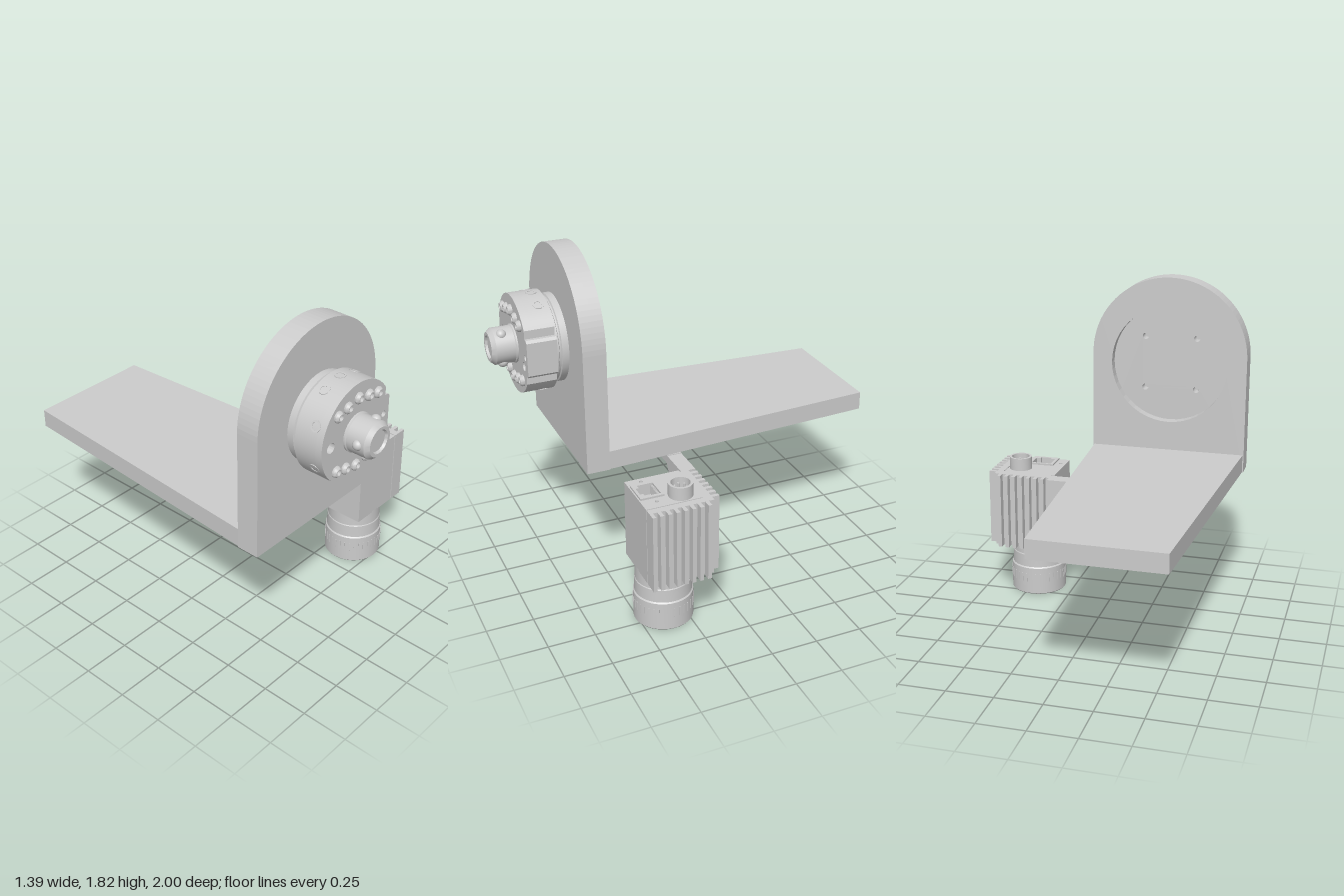
import * as THREE from 'three';
import { toCreasedNormals } from 'three/addons/utils/BufferGeometryUtils.js';

const material = new THREE.MeshStandardMaterial({ color: 0xcccccc });

function add(parent, name, geometry, x = 0, y = 0, z = 0) {
  const mesh = new THREE.Mesh(geometry, material);
  mesh.name = name;
  mesh.position.set(x, y, z);
  parent.add(mesh);
  return mesh;
}

// Box given by its limits on each axis
function box(parent, name, x0, x1, y0, y1, z0, z1) {
  return add(parent, name, new THREE.BoxGeometry(x1 - x0, y1 - y0, z1 - z0),
    (x0 + x1) / 2, (y0 + y1) / 2, (z0 + z1) / 2);
}

const lathe = (points, sides = 48) => toCreasedNormals(
  new THREE.LatheGeometry(points.map(([r, h]) => new THREE.Vector2(r, h)), sides), 0.5);
const latheZ = (points, sides) => lathe(points, sides).rotateX(Math.PI / 2);

const polygon = (points) => new THREE.Shape(points.map(([x, y]) => new THREE.Vector2(x, y)));
const circle = (x, y, r) => new THREE.Path().absarc(x, y, r, 0, Math.PI * 2, true);
const extrude = (shape, depth, curveSegments = 24) =>
  new THREE.ExtrudeGeometry(shape, { depth, curveSegments, bevelEnabled: false });
// Extrudes downward; the shape's second axis becomes z
const extrudeDown = (shape, depth) => extrude(shape, depth).rotateX(Math.PI / 2);

// Upright round-topped plate and tapered shelf
function makeBracket() {
  const g = new THREE.Group();
  g.name = 'mountingBracket';
  const cx = -0.262, cy = 1.33, r = 0.435;
  const outline = () => {
    const s = new THREE.Shape();
    s.moveTo(cx - r, 0.74);
    s.lineTo(cx + r, 0.74);
    s.lineTo(cx + r, 1.382);
    s.absarc(cx, 1.382, r, 0, Math.PI, false);
    s.closePath();
    return s;
  };
  const front = outline();
  for (const sx of [-1, 1]) for (const sy of [-1, 1]) {
    front.holes.push(circle(cx + sx * 0.146, cy + sy * 0.146, 0.018));
  }
  add(g, 'uprightPlateFront', extrude(front, 0.065), 0, 0, 0.582);
  const back = outline();
  back.holes.push(circle(cx, cy, 0.327));
  add(g, 'uprightPlateRecessedBack', extrude(back, 0.057), 0, 0, 0.525);
  const shelf = polygon([[-0.602, -1], [0.078, -1], [0.167, 0.526], [-0.691, 0.526]]);
  add(g, 'shelf', extrudeDown(shelf, 0.1), 0, 0.84, 0);
  return g;
}

// Round coupling, built around its own axis along z
function makeCoupling() {
  const g = new THREE.Group();
  g.name = 'coupling';
  g.position.set(-0.262, 1.33, 0);
  add(g, 'couplingBase', latheZ([[0.23, 0.64], [0.23, 0.682], [0.222, 0.686],
    [0.222, 0.694], [0.23, 0.698], [0.23, 0.72]]));

  const disc = () => {
    const a = Math.acos(0.212 / 0.256);
    const s = new THREE.Shape();
    s.absarc(0, 0, 0.256, a, Math.PI * 2 - a, false);
    for (const [x, y] of [[0.212, -0.1], [0.232, -0.1], [0.245, -0.087],
      [0.245, 0.087], [0.232, 0.1], [0.212, 0.1]]) s.lineTo(x, y);
    s.closePath();
    return s;
  };
  add(g, 'couplingDisc', toCreasedNormals(extrude(disc(), 0.12, 48), 0.3), 0, 0, 0.712);
  const face = disc();
  face.holes.push(circle(-0.19, 0, 0.027), circle(0.178, -0.058, 0.024), circle(0.207, 0, 0.016));
  add(g, 'couplingFace', toCreasedNormals(extrude(face, 0.036, 48), 0.3), 0, 0, 0.832);

  // Socket-head bolts above and below the plug
  const bolt = latheZ([[0.029, 0], [0.029, 0.01], [0.02, 0.022], [0.014, 0.022], [0.014, 0.006], [0, 0.006]], 18);
  for (const [x, y] of [[0, 0.18], [0.077, 0.163], [-0.077, 0.163], [0.146, 0.147], [-0.146, 0.147]]) {
    for (const s of [-1, 1]) add(g, 'faceBolt', bolt, x, y * s, 0.867);
  }

  // Ringed ports around the rim
  const port = lathe([[0.028, -0.02], [0.028, 0.002], [0.019, 0.002], [0.019, -0.006], [0, -0.006]], 20);
  for (const deg of [64, 90, 116, 154, 206, 244, 270, 296]) {
    const a = THREE.MathUtils.degToRad(deg);
    const mesh = add(g, 'rimPort', port, Math.cos(a) * 0.256, Math.sin(a) * 0.256, deg === 154 || deg === 206 ? 0.81 : 0.76);
    mesh.rotation.z = a - Math.PI / 2;
  }

  // Central plug with three locking balls
  add(g, 'plug', latheZ([[0.1, 0.86], [0.1, 0.876], [0.095, 0.88], [0.095, 0.978], [0.076, 1.0],
    [0.06, 1.0], [0.053, 0.988], [0, 0.988]]));
  for (const deg of [60, 180, 300]) {
    const a = THREE.MathUtils.degToRad(deg);
    add(g, 'lockingBall', new THREE.SphereGeometry(0.027, 20, 14), Math.cos(a) * 0.085, Math.sin(a) * 0.085, 0.94);
  }
  return g;
}

// Arm that carries the camera below the shelf
function makeArm() {
  const g = new THREE.Group();
  g.name = 'cameraArm';
  const bar = polygon([[-0.204, 0.121], [0.15, 0.121], [0.15, 0.2], [-0.204, 0.2]]);
  for (const x of [-0.13, 0.09]) bar.holes.push(circle(x, 0.16, 0.016));
  add(g, 'armBar', extrudeDown(bar, 0.049), 0, 0.739, 0);
  const gusset = polygon([[0.142, 0.69], [0.312, 0.39], [0.33, 0.39], [0.33, 0.735], [0.142, 0.735]]);
  add(g, 'armGusset', extrude(gusset, 0.079), 0, 0, 0.121);
  return g;
}

function makeCamera() {
  const g = new THREE.Group();
  g.name = 'camera';
  const y0 = 0.31, y1 = 0.735;

  // Housing with an opening for the socket
  box(g, 'housing', 0.312, 0.606, y0, 0.68, 0.207, 0.503);
  const top = polygon([[0.312, 0.207], [0.606, 0.207], [0.606, 0.503], [0.312, 0.503]]);
  top.holes.push(polygon([[0.38, 0.375], [0.38, 0.49], [0.51, 0.49], [0.51, 0.375]]));
  for (const x of [0.342, 0.552]) top.holes.push(circle(x, 0.425, 0.01));
  add(g, 'housingTop', extrudeDown(top, y1 - 0.68), 0, y1, 0);
  const socket = polygon([[0.372, 0.37], [0.518, 0.37], [0.518, 0.496], [0.372, 0.496]]);
  socket.holes.push(polygon([[0.39, 0.382], [0.39, 0.465], [0.415, 0.465], [0.415, 0.482],
    [0.475, 0.482], [0.475, 0.465], [0.5, 0.465], [0.5, 0.382]]));
  add(g, 'socketFrame', extrudeDown(socket, 0.064), 0, 0.745, 0);
  for (let i = 0; i < 8; i++) {
    const x = 0.398 + i * 0.0125;
    box(g, 'socketContact', x, x + 0.006, 0.68, 0.735, 0.38, 0.395);
  }

  // Round connector with pins
  add(g, 'connector', lathe([[0.063, 0.72], [0.063, 0.805], [0.05, 0.805], [0.05, 0.745], [0, 0.745]], 32), 0.538, 0, 0.293);
  for (let i = 0; i < 6; i++) {
    const a = i * Math.PI / 3;
    add(g, 'connectorPin', new THREE.CylinderGeometry(0.006, 0.006, 0.04, 8),
      0.538 + Math.cos(a) * 0.03, 0.765, 0.293 + Math.sin(a) * 0.03);
  }

  // L-shaped finned heat sink on the back and left sides
  box(g, 'heatSinkBack', 0.326, 0.65, y0, y1, 0.16, 0.207);
  box(g, 'heatSinkSide', 0.612, 0.65, y0, y1, 0.2, 0.503);
  box(g, 'heatSinkJoint', 0.6, 0.62, y0 + 0.004, y1 - 0.004, 0.2, 0.499);
  for (let i = 0; i < 7; i++) {
    const x = 0.36 + i * 0.042;
    box(g, 'backFin', x - 0.01, x + 0.01, y0, y1, 0.121, 0.165);
  }
  for (let i = 0; i < 8; i++) {
    const z = 0.201 + i * 0.042;
    box(g, 'sideFin', 0.645, 0.692, y0, y1, z - 0.01, Math.min(z + 0.01, 0.503));
  }

  // Lens barrel, open at the bottom, with grip ribs
  const lens = new THREE.Group();
  lens.name = 'lens';
  lens.position.set(0.46, 0, 0.36);
  g.add(lens);
  add(lens, 'lensBarrel', lathe([[0.132, 0.045], [0.143, 0], [0.152, 0], [0.156, 0.005], [0.156, 0.158],
    [0.15, 0.165], [0.148, 0.235], [0.145, 0.24], [0.145, 0.32]], 56));
  add(lens, 'lensGlass', lathe([[0, 0.04], [0.08, 0.043], [0.134, 0.052]], 48));
  for (let i = 0; i < 36; i++) {
    const a = i * Math.PI / 18;
    const rib = add(lens, 'gripRib', new THREE.BoxGeometry(0.006, 0.05, 0.008),
      Math.sin(a) * 0.155, 0.1, Math.cos(a) * 0.155);
    rib.rotation.y = a;
  }
  return g;
}

export function createModel() {
  const model = new THREE.Group();
  model.name = 'cameraToolMount';
  model.add(makeBracket(), makeCoupling(), makeArm(), makeCamera());
  return model;
}
